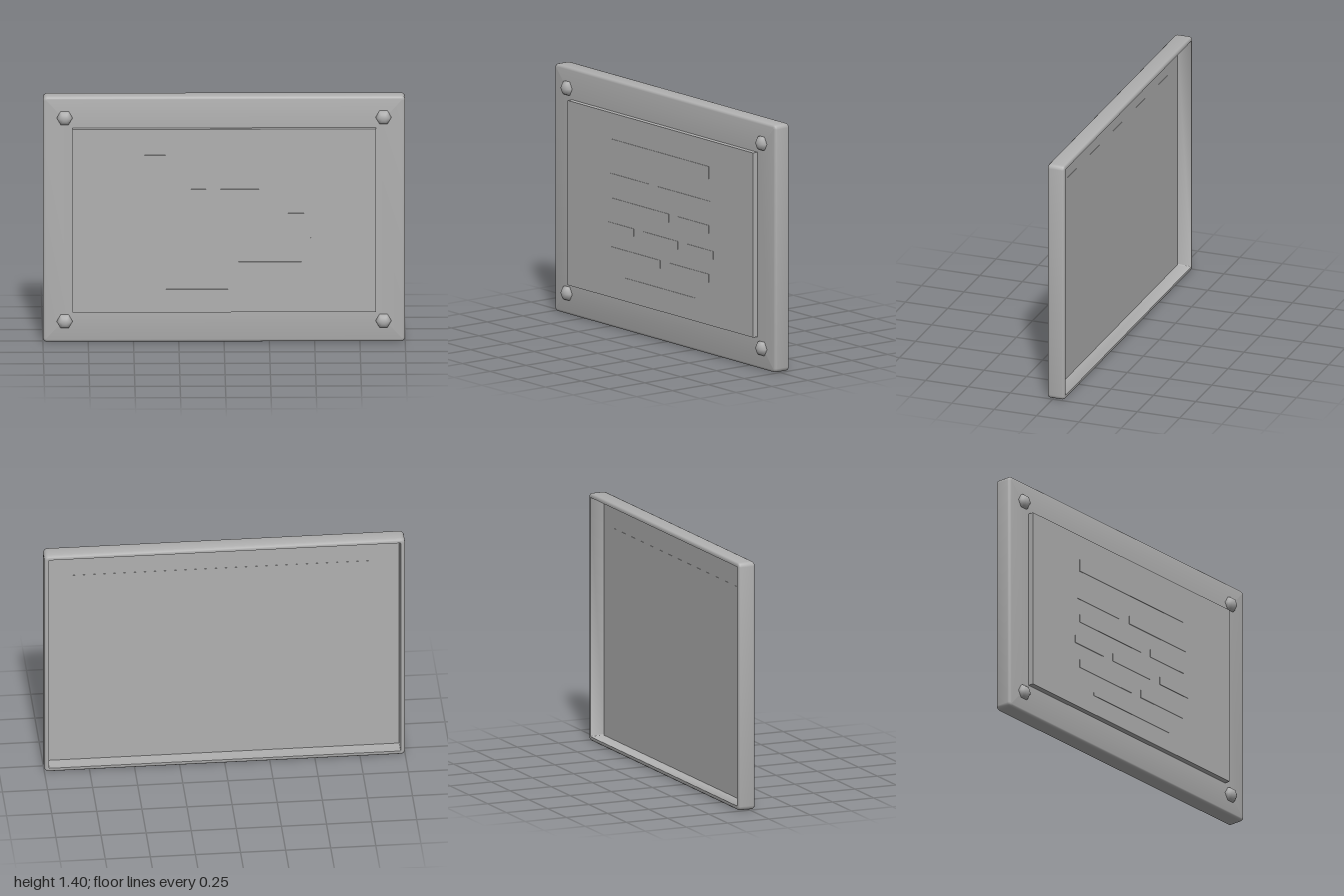
import * as THREE from 'three';
import { toCreasedNormals } from 'three/addons/utils/BufferGeometryUtils.js';

const MID = 0.7; // height of the plaque's centre

// Points of a rounded rectangle, counter-clockwise seen from the front
function roundedLoop(hx, hy, r, z, n = 4) {
  const pts = [];
  [[1, 1], [-1, 1], [-1, -1], [1, -1]].forEach(([sx, sy], q) => {
    for (let i = 0; i <= n; i++) {
      const a = (q + i / n) * Math.PI / 2;
      pts.push([sx * (hx - r) + r * Math.cos(a), MID + sy * (hy - r) + r * Math.sin(a), z]);
    }
  });
  return pts;
}

// Hollow-backed frame: closed ring of loops running round its cross-section
function frameGeometry() {
  const loops = [];
  const add = (inset, z, r) => loops.push(roundedLoop(1 - inset, 0.7 - inset, r, z));
  const opening = (z) => loops.push(roundedLoop(0.838, 0.522, 0.001, z));
  opening(0.033);
  for (const a of [0, 30, 60, 90]) { // front outer rounding
    const t = a * Math.PI / 180;
    add(0.016 * (1 - Math.sin(t)), 0.017 + 0.016 * Math.cos(t), 0.024 - 0.016 * (1 - Math.sin(t)));
  }
  for (const a of [0, 30, 60, 90]) { // back outer rounding
    const t = a * Math.PI / 180;
    add(0.014 * (1 - Math.cos(t)), -0.053 - 0.014 * Math.sin(t), 0.024 - 0.014 * (1 - Math.cos(t)));
  }
  add(0.024, -0.067, 0.006); // rim
  add(0.026, 0.013, 0.006); // inner wall
  opening(0.013);

  const count = loops[0].length, index = [];
  for (let l = 0; l < loops.length; l++) {
    const m = (l + 1) % loops.length;
    for (let i = 0; i < count; i++) {
      const j = (i + 1) % count;
      const a = l * count + i, b = l * count + j, c = m * count + i, d = m * count + j;
      index.push(a, c, b, b, c, d);
    }
  }
  const geo = new THREE.BufferGeometry();
  geo.setAttribute('position', new THREE.Float32BufferAttribute(loops.flat(2), 3));
  geo.setIndex(index);
  return toCreasedNormals(geo, 0.7);
}

export function createModel() {
  const model = new THREE.Group();
  model.name = 'wallPlaque';
  const grey = new THREE.MeshStandardMaterial({ color: 0xb0b0b0 });
  grey.name = 'grey';

  const add = (name, geo, x = 0, y = 0, z = 0) => {
    const mesh = new THREE.Mesh(geo, grey);
    mesh.name = name;
    mesh.position.set(x, y, z);
    model.add(mesh);
    return mesh;
  };

  add('frame', frameGeometry());

  // Raised panel filling the frame's opening
  add('panel', new THREE.BoxGeometry(1.676, 1.044, 0.052), 0, MID, 0.038);

  // Six-sided domed bolts in the corners
  const bolt = new THREE.SphereGeometry(0.044, 6, 6, 0, Math.PI * 2, 0, Math.PI / 2);
  bolt.rotateX(Math.PI / 2);
  bolt.scale(1, 1, 0.034 / 0.044);
  for (const sx of [-1, 1]) for (const sy of [-1, 1]) {
    add('bolt', bolt, sx * 0.88, MID + sy * 0.58, 0.033);
  }

  // Thin raised bars: top, height, then left and right end of each bar
  const rows = [
    [1.075, 0.07, [[-0.44, 0.44]]],
    [0.88, 0.047, [[-0.46, -0.1], [-0.02, 0.46]]],
    [0.742, 0.047, [[-0.44, 0.08], [0.16, 0.44]]],
    [0.602, 0.045, [[-0.48, -0.24], [-0.16, 0.16], [0.24, 0.48]]],
    [0.466, 0.047, [[-0.44, 0], [0.08, 0.44]]],
    [0.31, 0.02, [[-0.32, 0.32]]],
  ];
  for (const [top, h, bars] of rows) for (const [x0, x1] of bars) {
    add('bar', new THREE.BoxGeometry(x1 - x0, h, 0.006), (x0 + x1) / 2, top - h / 2, 0.064);
  }
  return model;
}
